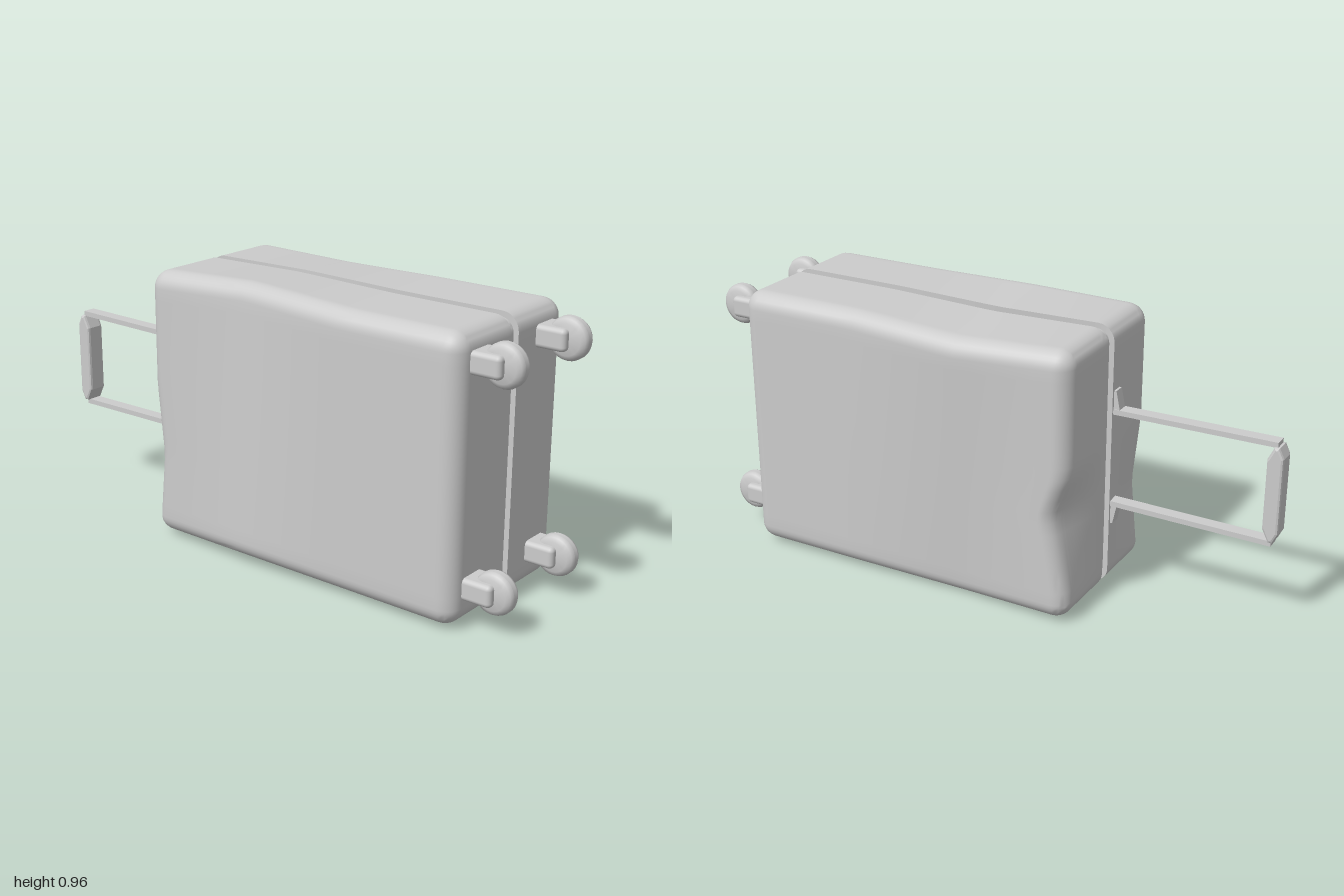
import * as THREE from 'three';
import { toCreasedNormals } from 'three/addons/utils/BufferGeometryUtils.js';
import { RoundedBoxGeometry } from 'three/addons/geometries/RoundedBoxGeometry.js';

const material = new THREE.MeshStandardMaterial({ color: 0xcccccc });
const clamp = THREE.MathUtils.clamp;
const tent = (v, lo, peak, hi) => clamp(Math.min((v - lo) / (peak - lo), (hi - v) / (hi - peak)), 0, 1);

function add(parent, name, geometry, x = 0, y = 0, z = 0) {
  const mesh = new THREE.Mesh(geometry, material);
  mesh.name = name;
  mesh.position.set(x, y, z);
  parent.add(mesh);
  return mesh;
}

// Battered shape: the middle of the case is twisted, its back edges are dented.
function batter(v) {
  const a = 0.055 * tent(v.z, -0.4, 0, 0.4);
  const { x, y } = v;
  v.x = x + a * (y - 0.48);
  v.y = y - a * x;
  const back = clamp((-v.z - 0.1) / 0.28, 0, 1);
  const side = clamp((Math.abs(x) - 0.03) / 0.22, 0, 1);
  const depth = x > 0 ? 0.052 * tent(y, 0.08, 0.38, 0.53) : 0.025 * tent(y, 0.05, 0.3, 0.55);
  v.z += depth * back * side;
}

// Finely divided box, rounded with radius r; roundLo / roundHi choose the rounded x ends.
function shellGeometry(min, max, r, roundLo, roundHi) {
  const n = 28, k = 4;
  const geometry = new THREE.BoxGeometry(1, 1, 1, n, n, n);
  const pos = geometry.attributes.position;
  const lo = min.clone().addScalar(r), hi = max.clone().subScalar(r);
  if (!roundLo) lo.x = min.x;
  if (!roundHi) hi.x = max.x;
  // The first and last k divisions fall inside the rounding
  const place = (u, axis) => {
    const i = Math.round((u + 0.5) * n), a = min[axis], b = max[axis];
    if (i <= k) return a + r * (1 - Math.tan((1 - i / k) * Math.PI / 4));
    if (i >= n - k) return b - r * (1 - Math.tan((1 - (n - i) / k) * Math.PI / 4));
    return a + r + (b - a - 2 * r) * (i - k) / (n - 2 * k);
  };
  const round = (u, axis) => {
    const i = Math.round((u + 0.5) * n), a = min[axis], b = max[axis];
    if (i <= k) return a + r * (1 - Math.tan((k - i) / k * Math.PI / 4));
    if (i >= n - k) return b - r * (1 - Math.tan((i - n + k) / k * Math.PI / 4));
    return place(u, axis);
  };
  const v = new THREE.Vector3(), core = new THREE.Vector3();
  for (let i = 0; i < pos.count; i++) {
    v.fromBufferAttribute(pos, i);
    v.set(round(v.x, 'x'), round(v.y, 'y'), round(v.z, 'z'));
    core.copy(v).clamp(lo, hi);
    v.sub(core);
    if (v.lengthSq() > 1e-12) v.setLength(r);
    v.add(core);
    batter(v);
    pos.setXYZ(i, v.x, v.y, v.z);
  }
  return toCreasedNormals(geometry, 0.7);
}

// Rounded tyre turned about the x axis
function tyreGeometry(radius, width) {
  const h = width / 2, b = 0.02;
  const points = [[0, -h], [radius - b, -h], [radius - 0.006, -h + 0.007], [radius, -h + b],
    [radius, h - b], [radius - 0.006, h - 0.007], [radius - b, h], [0, h]];
  const geometry = new THREE.LatheGeometry(points.map(p => new THREE.Vector2(...p)), 28);
  return toCreasedNormals(geometry.rotateZ(Math.PI / 2), 0.8);
}

export function createModel() {
  const model = new THREE.Group();
  model.name = 'suitcase';
  const V = (x, y, z) => new THREE.Vector3(x, y, z);

  // Two half shells and the recessed band between them
  add(model, 'leftShell', shellGeometry(V(0.02, 0.01, -0.41), V(0.298, 0.947, 0.84), 0.06, false, true));
  add(model, 'rightShell', shellGeometry(V(-0.298, 0.01, -0.41), V(-0.02, 0.947, 0.84), 0.06, true, false));
  add(model, 'seamBand', shellGeometry(V(-0.022, 0.03, -0.392), V(0.022, 0.928, 0.822), 0.045, false, false));

  // Four wheels with their brackets
  const tyre = tyreGeometry(0.071, 0.058);
  const bracket = new RoundedBoxGeometry(0.107, 0.074, 0.115, 3, 0.016);
  for (const x of [-0.188, 0.174]) {
    for (const y of [0.134, 0.854]) {
      const wheel = new THREE.Group();
      wheel.name = 'wheel';
      wheel.position.set(x, y, 0.929);
      add(wheel, 'tyre', tyre);
      add(wheel, 'wheelBracket', bracket, 0, 0, -0.046);
      model.add(wheel);
    }
  }

  // Pull handle
  const handle = new THREE.Group();
  handle.name = 'pullHandle';
  handle.position.set(-0.05, 0.48, 0);
  model.add(handle);
  for (const s of [-1, 1]) {
    const rod = add(handle, 'handleRod', new THREE.BoxGeometry(0.046, 0.018, 0.59), 0, s * 0.169, -0.68);
    rod.rotation.x = s * 0.01;
    // Tapered socket plate
    const plate = new THREE.Shape([[0, 0.155], [0.034, 0.165], [0.018, 0.24], [0, 0.24]]
      .map(([z, y]) => new THREE.Vector2(z, s * y)));
    const socket = new THREE.ExtrudeGeometry(plate, { depth: 0.04, bevelEnabled: false });
    socket.rotateY(Math.PI / 2).translate(-0.02, 0, -0.4);
    add(handle, 'handleSocket', socket);
  }
  // Grip with tapered ends
  const outline = new THREE.Shape([[0.944, -0.12], [0.966, -0.165], [0.982, -0.165], [0.999, -0.13],
    [0.999, 0.13], [0.982, 0.165], [0.966, 0.165], [0.944, 0.12]].map(p => new THREE.Vector2(...p)));
  const grip = new THREE.ExtrudeGeometry(outline,
    { depth: 0.05, bevelSize: 0.008, bevelOffset: -0.008, bevelThickness: 0.01, bevelSegments: 2 });
  grip.rotateY(Math.PI / 2).translate(-0.025, 0, 0);
  add(handle, 'handleGrip', grip);
  return model;
}
